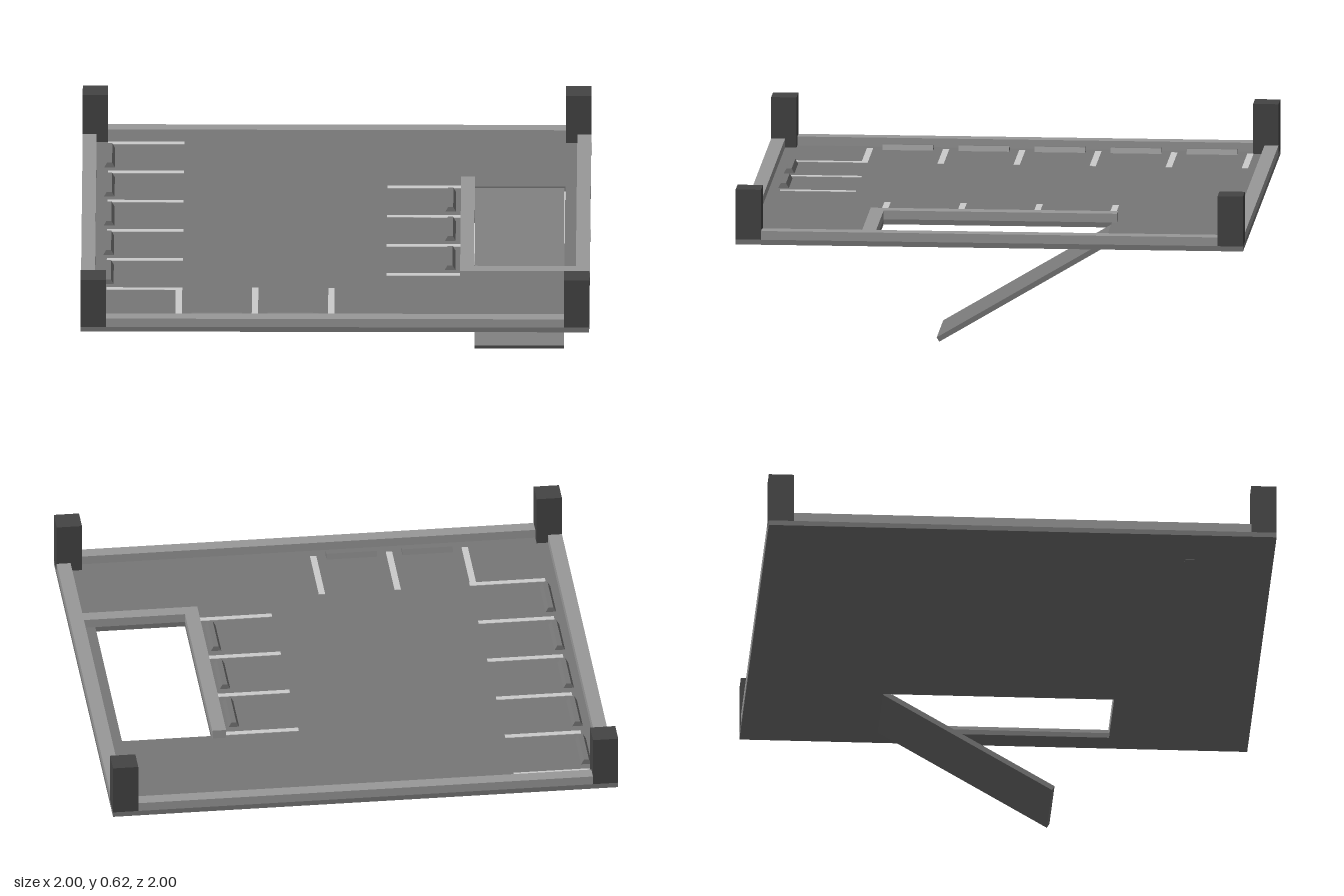
import * as THREE from 'three';

const FLOOR = 0.42, WALL_TOP = 0.455;
const mat = (color) => new THREE.MeshStandardMaterial({ color, flatShading: true });

export function createModel() {
  const model = new THREE.Group();
  const concrete = mat(0x777777), parapet = mat(0x999999), dark = mat(0x444444), paint = mat(0xcccccc);

  const add = (name, geometry, material) => {
    const mesh = new THREE.Mesh(geometry, material);
    mesh.name = name;
    model.add(mesh);
    return mesh;
  };
  // Box given by its minimum and maximum corners
  const box = (name, material, x0, x1, y0, y1, z0, z1) => {
    const mesh = add(name, new THREE.BoxGeometry(x1 - x0, y1 - y0, z1 - z0), material);
    mesh.position.set((x0 + x1) / 2, (y0 + y1) / 2, (z0 + z1) / 2);
    return mesh;
  };

  // Deck slab with the ramp opening
  const rect = (Type, x0, x1, z0, z1) => new Type([
    new THREE.Vector2(x0, z0), new THREE.Vector2(x1, z0),
    new THREE.Vector2(x1, z1), new THREE.Vector2(x0, z1)]);
  const deck = rect(THREE.Shape, -1, 1, -1, 1);
  deck.holes.push(rect(THREE.Path, 0.545, 0.9, -0.45, 0.45));
  const slab = new THREE.ExtrudeGeometry(deck, { depth: 0.02, bevelEnabled: false });
  slab.rotateX(Math.PI / 2).translate(0, FLOOR, 0);
  add('deckSlab', slab, concrete);

  // Perimeter parapets and corner columns
  for (const s of [-1, 1]) {
    const [a, b] = s < 0 ? [-1, -0.945] : [0.945, 1];
    box('sideParapet', parapet, a, b, FLOOR, WALL_TOP, -0.9, 0.9);
    box('endParapet', parapet, -0.9, 0.9, FLOOR, WALL_TOP, a, b);
    for (const t of [-1, 1]) {
      const column = add('cornerColumn', new THREE.BoxGeometry(0.1, 0.2, 0.1), dark);
      column.position.set(s * 0.95, FLOOR + 0.1, t * 0.95);
    }
  }

  // Parapet around the ramp opening
  box('rampSideParapet', parapet, 0.49, 0.545, FLOOR, WALL_TOP, -0.47, 0.505);
  box('rampEndParapet', parapet, 0.545, 0.945, FLOOR, WALL_TOP, 0.45, 0.505);

  // Sloping ramp down to the level below
  const low = new THREE.Vector2(0.21, 0.01), high = new THREE.Vector2(-0.455, 0.405);
  const ramp = add('ramp', new THREE.BoxGeometry(0.352, 0.02, low.distanceTo(high)), concrete);
  ramp.position.set(0.721, (low.y + high.y) / 2, (low.x + high.x) / 2);
  ramp.rotation.x = Math.atan2(high.y - low.y, low.x - high.x);

  // Painted bay lines
  const stripe = (x0, x1, z0, z1) => box('bayLine', paint, x0, x1, FLOOR, FLOOR + 0.002, z0, z1);
  for (let i = 0; i < 6; i++) {
    const z = -0.89 + 0.3 * i;
    stripe(-0.9, -0.6, z - 0.0125, z + 0.0125);
  }
  for (let i = 0; i < 4; i++) {
    const z = -0.44 + 0.3 * i;
    stripe(0.2, 0.49, z - 0.0125, z + 0.0125);
  }
  for (let i = 0; i < 3; i++) {
    const x = -0.615 + 0.3 * i;
    stripe(x - 0.0125, x + 0.0125, 0.6, 0.9);
  }

  // Wheel stops with a trapezoid section
  const section = new THREE.Shape([[-0.021, 0], [0.021, 0], [0.01, 0.02], [-0.01, 0.02]]
    .map(([x, y]) => new THREE.Vector2(x, y)));
  const stopGeometry = new THREE.ExtrudeGeometry(section, { depth: 0.2, bevelEnabled: false });
  stopGeometry.translate(0, 0, -0.1);
  const wheelStop = (x, z, turn = 0) => {
    const stop = add('wheelStop', stopGeometry, concrete);
    stop.position.set(x, FLOOR, z);
    stop.rotation.y = turn;
  };
  for (let i = 0; i < 5; i++) wheelStop(-0.893, -0.74 + 0.3 * i);
  for (let i = 0; i < 3; i++) wheelStop(0.45, -0.29 + 0.3 * i);
  for (let i = 0; i < 2; i++) wheelStop(-0.465 + 0.3 * i, 0.89, Math.PI / 2);

  // Small plate on the underside
  box('undersidePlate', concrete, -0.78, -0.74, 0.398, 0.4, 0.65, 0.69);

  return model;
}
